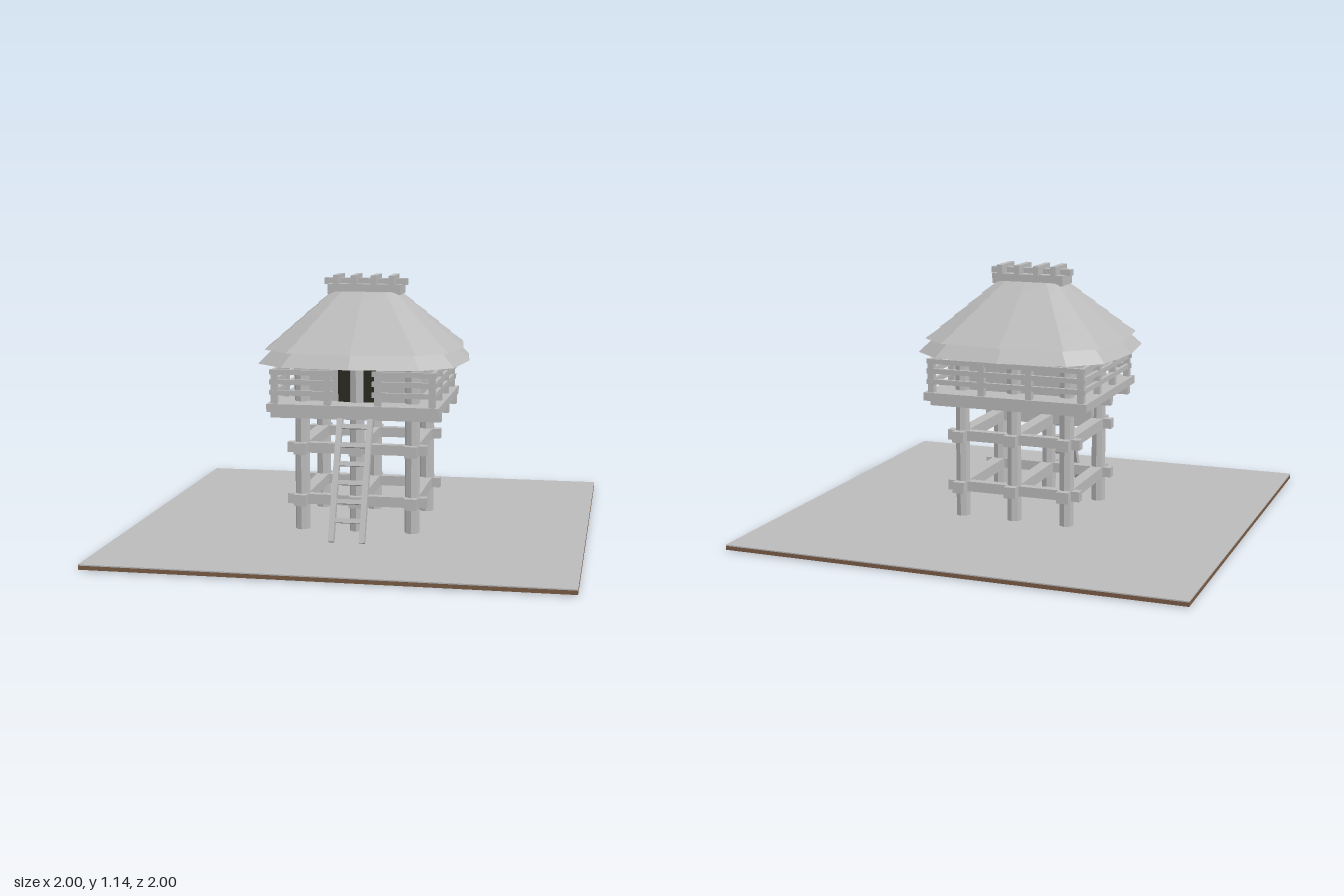
import * as THREE from 'three';

const mat = (name, hex, side = THREE.FrontSide) => {
  const m = new THREE.MeshStandardMaterial({ color: hex, flatShading: true, side });
  m.name = name;
  return m;
};

// Twelve-sided rounded-rectangle outline, scaled to half width a and half depth b
const quarter = [[1, 0], [0.925, 0.645], [0.645, 0.92]];
const outline = [0, 1, 2, 3].flatMap((q) => {
  const sx = q === 0 || q === 3 ? 1 : -1;
  const sz = q < 2 ? 1 : -1;
  const all = [...quarter, [0, 1]];
  const list = q % 2 ? all.slice().reverse() : all;
  return list.slice(0, 3).map(([x, z]) => [x * sx, z * sz]);
});
const ring = (a, b, y) => outline.map(([x, z]) => [x * a, y, -z * b]);

// Joins consecutive rings into flat-shaded bands
function bands(rings) {
  const v = [];
  for (let r = 0; r < rings.length - 1; r++) {
    const lo = rings[r], hi = rings[r + 1];
    lo.forEach((p, i) => {
      const j = (i + 1) % lo.length;
      v.push(...p, ...lo[j], ...hi[j], ...p, ...hi[j], ...hi[i]);
    });
  }
  const g = new THREE.BufferGeometry();
  g.setAttribute('position', new THREE.Float32BufferAttribute(v, 3));
  g.computeVertexNormals();
  return g;
}

export function createModel() {
  const model = new THREE.Group();
  model.name = 'stiltHut';
  const timber = mat('paleGrey', 0xbababa);
  const earth = mat('earthBrown', 0x7a5c45);
  const dark = mat('darkInterior', 0x2b2a20);

  const group = (name) => {
    const g = new THREE.Group();
    g.name = name;
    model.add(g);
    return g;
  };
  const add = (parent, name, geo, material = timber) => {
    const m = new THREE.Mesh(geo, material);
    m.name = name;
    parent.add(m);
    return m;
  };
  const box = (parent, name, w, h, d, x, y, z, material) => {
    const m = add(parent, name, new THREE.BoxGeometry(w, h, d), material);
    m.position.set(x, y, z);
    return m;
  };

  // Ground slab with a pale surface
  const ground = group('ground');
  box(ground, 'soil', 2, 0.017, 2, 0, 0.0125, 0, earth);
  box(ground, 'groundSurface', 2, 0.005, 2, 0, 0.0235, 0);

  // Six stilts running from the ground into the roof
  const stilts = group('stilts');
  for (const x of [-0.245, 0, 0.245]) for (const z of [-0.225, 0.225]) {
    const p = add(stilts, 'stilt', new THREE.CylinderGeometry(0.033, 0.033, 0.86, 8));
    p.position.set(x, 0.43, z);
  }

  // Two levels of crossing braces
  const braces = group('braces');
  for (const y of [0.162, 0.393]) {
    for (const z of [-0.225, 0.225]) box(braces, 'longBrace', 0.62, 0.045, 0.04, 0, y, z);
    for (const x of [-0.245, 0, 0.245]) box(braces, 'crossBrace', 0.055, 0.05, 0.575, x, y, 0);
  }

  // Deck on three joists
  const platform = group('platform');
  box(platform, 'deck', 0.752, 0.036, 0.71, 0, 0.582, 0);
  for (const z of [-0.265, 0, 0.265]) box(platform, 'joist', 0.752, 0.036, 0.036, 0, 0.547, z);

  // Inner walls and dark doorway
  const walls = group('walls');
  for (const s of [-1, 1]) {
    box(walls, 'longWall', 0.49, 0.15, 0.02, 0, 0.675, s * 0.215);
    box(walls, 'endWall', 0.02, 0.15, 0.43, s * 0.24, 0.675, 0);
  }
  box(walls, 'doorway', 0.165, 0.19, 0.008, 0, 0.695, 0.23, dark);

  // Railing with an opening at the ladder
  const railing = group('railing');
  for (const y of [0.738, 0.695, 0.648]) {
    box(railing, 'backRail', 0.73, 0.022, 0.016, 0, y, -0.335);
    for (const s of [-1, 1]) {
      box(railing, 'sideRail', 0.016, 0.022, 0.69, s * 0.35, y, 0);
      box(railing, 'frontRail', 0.28, 0.022, 0.016, s * 0.225, y, 0.335);
    }
  }
  for (const s of [-1, 1]) {
    for (const z of [-0.33, -0.11, 0.11, 0.33]) box(railing, 'railPost', 0.028, 0.145, 0.028, s * 0.345, 0.672, z);
    for (const z of [-0.33, 0.33]) box(railing, 'railPost', 0.028, 0.145, 0.028, s * 0.11, 0.672, z);
  }

  // Leaning ladder
  const ladder = group('ladder');
  const foot = new THREE.Vector3(0, 0.03, 0.472), head = new THREE.Vector3(0, 0.54, 0.265);
  const lean = Math.atan2(head.z - foot.z, head.y - foot.y);
  const mid = foot.clone().lerp(head, 0.5);
  for (const s of [-1, 1]) {
    box(ladder, 'ladderRail', 0.024, foot.distanceTo(head), 0.03, s * 0.067, mid.y, mid.z).rotation.x = lean;
  }
  for (let i = 0; i < 6; i++) {
    const p = foot.clone().lerp(head, 0.17 + i * 0.15);
    box(ladder, 'rung', 0.13, 0.02, 0.018, 0, p.y, p.z).rotation.x = lean;
  }

  // Thatched roof: an eave skirt and overlapping layers
  const roof = group('roof');
  add(roof, 'eave', bands([ring(0.455, 0.42, 0.764), ring(0.465, 0.432, 0.765), ring(0.4, 0.37, 0.83)]));
  const levels = [0.825, 0.872, 0.92, 0.968, 1.016, 1.068];
  const halfAt = (y) => {
    const t = (y - 0.825) / 0.243;
    return [0.43 - 0.28 * t, 0.4 - 0.31 * t];
  };
  for (let i = 0; i < levels.length - 1; i++) {
    const [a, b] = halfAt(levels[i]), [c, d] = halfAt(levels[i + 1]);
    const lip = i ? 0.007 : 0.008;
    add(roof, 'thatchLayer', bands([
      ring(a - 0.03, b - 0.03, levels[i]),
      ring(a + lip, b + lip, levels[i]),
      ring(c, d, levels[i + 1]),
    ]));
  }
  add(roof, 'roofTop', bands([ring(0.15, 0.09, 1.068), ring(0.001, 0.001, 1.07)]));
  add(roof, 'roofUnderside', bands([ring(0.14, 0.07, 1.04), ring(0.457, 0.423, 0.763)]), dark);

  // Ridge cap, pole and crossing logs
  const ridge = group('ridge');
  box(ridge, 'ridgeCap', 0.33, 0.045, 0.13, 0, 1.079, 0);
  box(ridge, 'ridgePole', 0.375, 0.028, 0.036, 0, 1.111, 0);
  for (const x of [-0.125, -0.045, 0.045, 0.125]) {
    box(ridge, 'ridgeLog', 0.024, 0.042, 0.155, x, 1.12, 0);
  }
  return model;
}
